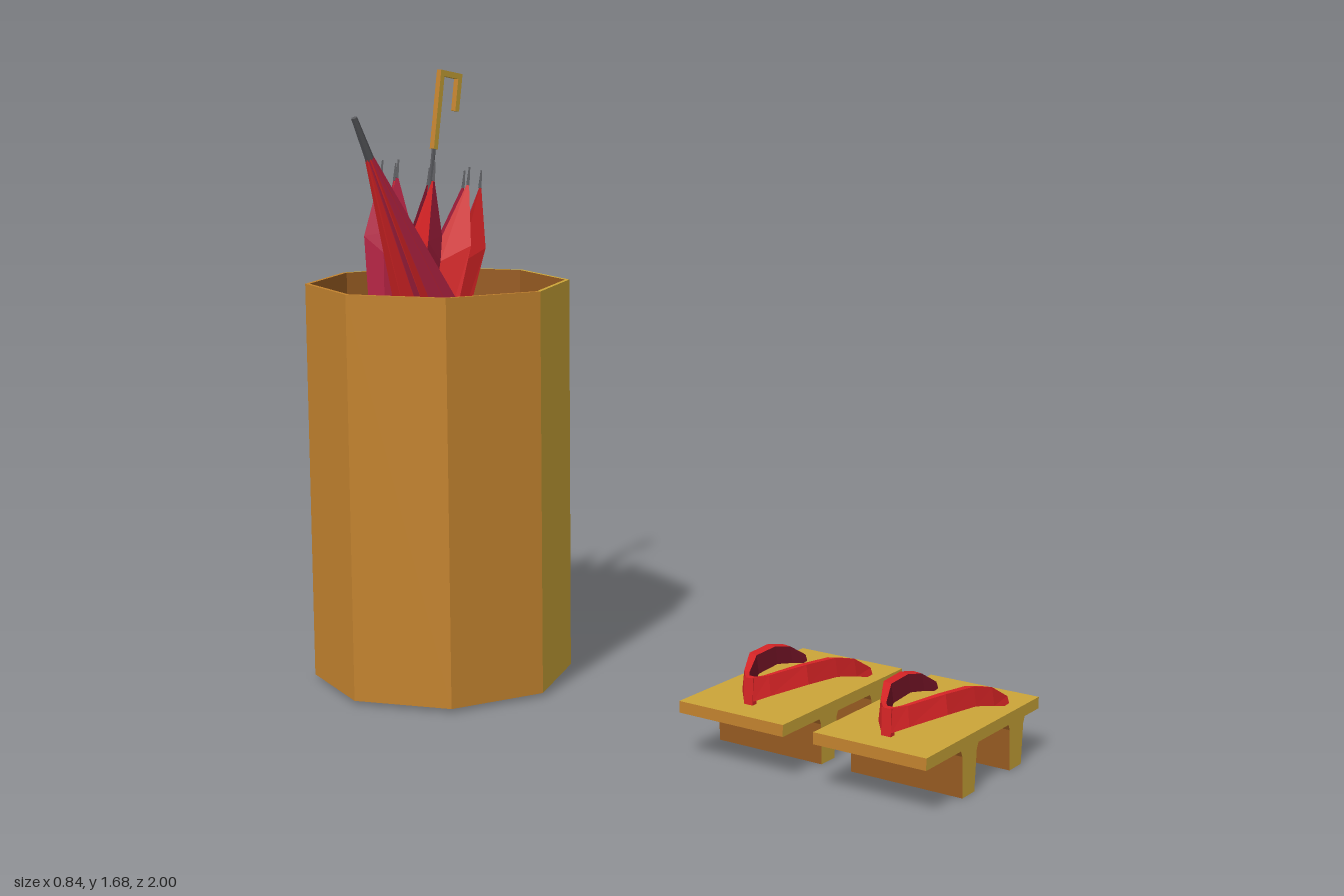
import * as THREE from 'three';

const mat = (name, color, side = THREE.FrontSide) => {
  const m = new THREE.MeshStandardMaterial({ color, side, flatShading: true });
  m.name = name;
  return m;
};

const gold = mat('gold wood', 0xcba538);
const ochre = mat('ochre wood', 0xc2822e);
const brown = mat('brown wood', 0x985c22);
const umber = mat('dark wood', 0x804410);
const red = mat('red cloth', 0xd82426, THREE.DoubleSide);
const crimson = mat('crimson cloth', 0xb22242, THREE.DoubleSide);
const maroon = mat('maroon lining', 0x741426);
const grey = mat('grey metal', 0x55565a);

function mesh(name, geometry, material, parent, x = 0, y = 0, z = 0) {
  const m = new THREE.Mesh(geometry, material);
  m.name = name;
  m.position.set(x, y, z);
  parent.add(m);
  return m;
}

function group(name, parent, x = 0, y = 0, z = 0) {
  const g = new THREE.Group();
  g.name = name;
  g.position.set(x, y, z);
  parent.add(g);
  return g;
}

// Surface from a list of four-cornered faces
function quadGeometry(quads) {
  const pos = quads.flatMap(([a, b, c, d]) => [a, b, c, a, c, d].flat());
  const geo = new THREE.BufferGeometry();
  geo.setAttribute('position', new THREE.Float32BufferAttribute(pos, 3));
  geo.computeVertexNormals();
  return geo;
}

// Eight-sided stand, ochre on one half and gold on the other
function buildStand(root) {
  const stand = group('umbrellaStand', root, 0.03, 0, -0.64);
  const R = 0.36, r = 0.348, low = 0.01, floor = 0.03, top = 1.11;
  const lathe = (name, pts, material, segments = 8, start = 0, sweep = Math.PI * 2) =>
    mesh(name, new THREE.LatheGeometry(pts.map(p => new THREE.Vector2(...p)), segments, start, sweep), material, stand);
  const outer = [[R, low], [R, top], [r, top]];
  lathe('leftWall', outer, gold, 4, 0, Math.PI);
  lathe('rightWall', outer, ochre, 4, Math.PI, Math.PI);
  lathe('innerWall', [[r, top], [r, floor]], brown);
  lathe('floor', [[r, floor], [0, floor]], umber);
  lathe('base', [[0, low], [R, low]], umber);
}

// Folded umbrella: canopy apex at the origin, handle toward -y
function buildUmbrella(name, root, x, y, z, tilt) {
  const u = group(name, root, x, y, z);
  u.rotation.z = tilt;
  const ribs = 8, step = Math.PI * 2 / ribs;
  const ridge = [[0, 0.012], [0.5, 0.09], [1, 0.17], [1.18, 0.14]];
  const valley = [[0, 0.01], [0.5, 0.055], [0.95, 0.11], [1.02, 0.105]];
  const at = ([d, r], a) => [r * Math.sin(a), -d, r * Math.cos(a)];
  const redFaces = [], crimsonFaces = [];
  for (let k = 0; k < ribs; k++) {
    const a = k * step, before = a - step / 2, after = a + step / 2;
    for (let i = 0; i < ridge.length - 1; i++) {
      const j = i + 1;
      redFaces.push([at(ridge[j], a), at(valley[j], after), at(valley[i], after), at(ridge[i], a)]);
      crimsonFaces.push([at(valley[j], before), at(ridge[j], a), at(ridge[i], a), at(valley[i], before)]);
    }
    // Metal point at the end of the rib
    const [px, py, pz] = at([1.19, 0.138], a);
    mesh('ribTip', new THREE.CylinderGeometry(0.006, 0.003, 0.05, 4), grey, u, px, py, pz);
  }
  mesh('redPleats', quadGeometry(redFaces), red, u);
  mesh('crimsonPleats', quadGeometry(crimsonFaces), crimson, u);
  mesh('ferrule', new THREE.CylinderGeometry(0.008, 0.012, 0.12, 6), grey, u, 0, 0.055, 0);
  mesh('shaft', new THREE.CylinderGeometry(0.006, 0.006, 1.28, 6), grey, u, 0, -0.64, 0);
  // Squared wooden crook
  const wood = [ochre, ochre, gold, gold, gold, gold];
  const bar = (part, w, h, bx, by) =>
    mesh(part, new THREE.BoxGeometry(w, h, 0.016), wood, u, bx, by, 0);
  bar('grip', 0.016, 0.22, 0, -1.37);
  bar('crookTop', 0.09, 0.016, -0.037, -1.472);
  bar('crookEnd', 0.016, 0.09, -0.074, -1.42);
}

// One half of the thong: a band swept through rectangular sections
function strapParts() {
  // x, y, z, half width, half height
  const rows = [
    [-0.07, 0.19, 0.004, 0.01, 0.03],
    [-0.035, 0.197, 0.029, 0.013, 0.026],
    [0.06, 0.211, 0.074, 0.018, 0.025],
    [0.17, 0.206, 0.09, 0.019, 0.024],
    [0.25, 0.187, 0.097, 0.02, 0.023],
    [0.33, 0.155, 0.099, 0.02, 0.012],
  ];
  const rings = rows.map(([x, y, z, w, h]) => [
    [x, y - h, z + w], [x, y + h, z + w * 0.6], [x, y + h * 0.9, z - w * 0.6], [x, y - h, z - w],
  ]);
  const outer = [], inner = [];
  for (let i = 0; i < rings.length - 1; i++) {
    const p = rings[i], q = rings[i + 1];
    for (let k = 0; k < 4; k++) {
      const n = (k + 1) % 4;
      (k < 2 ? outer : inner).push([p[k], q[k], q[n], p[n]]);
    }
  }
  const first = rings[0], last = rings[rings.length - 1];
  outer.push([last[0], last[3], last[2], last[1]], first);
  return [quadGeometry(outer), quadGeometry(inner)];
}

// Wooden sandal with two tapered teeth and a forked strap
function buildSandal(name, root, z) {
  const s = group(name, root, 0, 0, z);
  const depth = 0.305;
  mesh('sole', new THREE.BoxGeometry(0.57, 0.03, depth),
    [ochre, ochre, gold, umber, gold, gold], s, 0.135, 0.135, 0);
  for (const x of [0.06, 0.302]) {
    const shape = new THREE.Shape([[-0.03, 0], [0.03, 0], [0.036, 0.105], [0.044, 0.121], [-0.044, 0.121], [-0.036, 0.105]]
      .map(p => new THREE.Vector2(...p)));
    const geo = new THREE.ExtrudeGeometry(shape, { depth, bevelEnabled: false });
    mesh('tooth', geo, [gold, brown], s, x, 0, -depth / 2);
  }
  const [outer, inner] = strapParts();
  for (const side of [1, -1]) {
    const strap = group(side > 0 ? 'frontStrap' : 'backStrap', s);
    strap.scale.z = side;
    mesh('strapOuter', outer, red, strap);
    mesh('strapInner', inner, maroon, strap);
  }
  mesh('toePost', new THREE.BoxGeometry(0.018, 0.07, 0.026), red, s, -0.062, 0.184, 0);
}

export function createModel() {
  const root = new THREE.Group();
  root.name = 'umbrellaStandAndSandals';
  buildStand(root);
  buildUmbrella('leaningUmbrella', root, -0.365, 1.47, -0.51, 0.467);
  buildUmbrella('invertedUmbrella', root, -0.039, 0.216, -0.77, Math.PI - 0.161);
  buildSandal('backSandal', root, 0.4575);
  buildSandal('frontSandal', root, 0.8475);
  return root;
}
